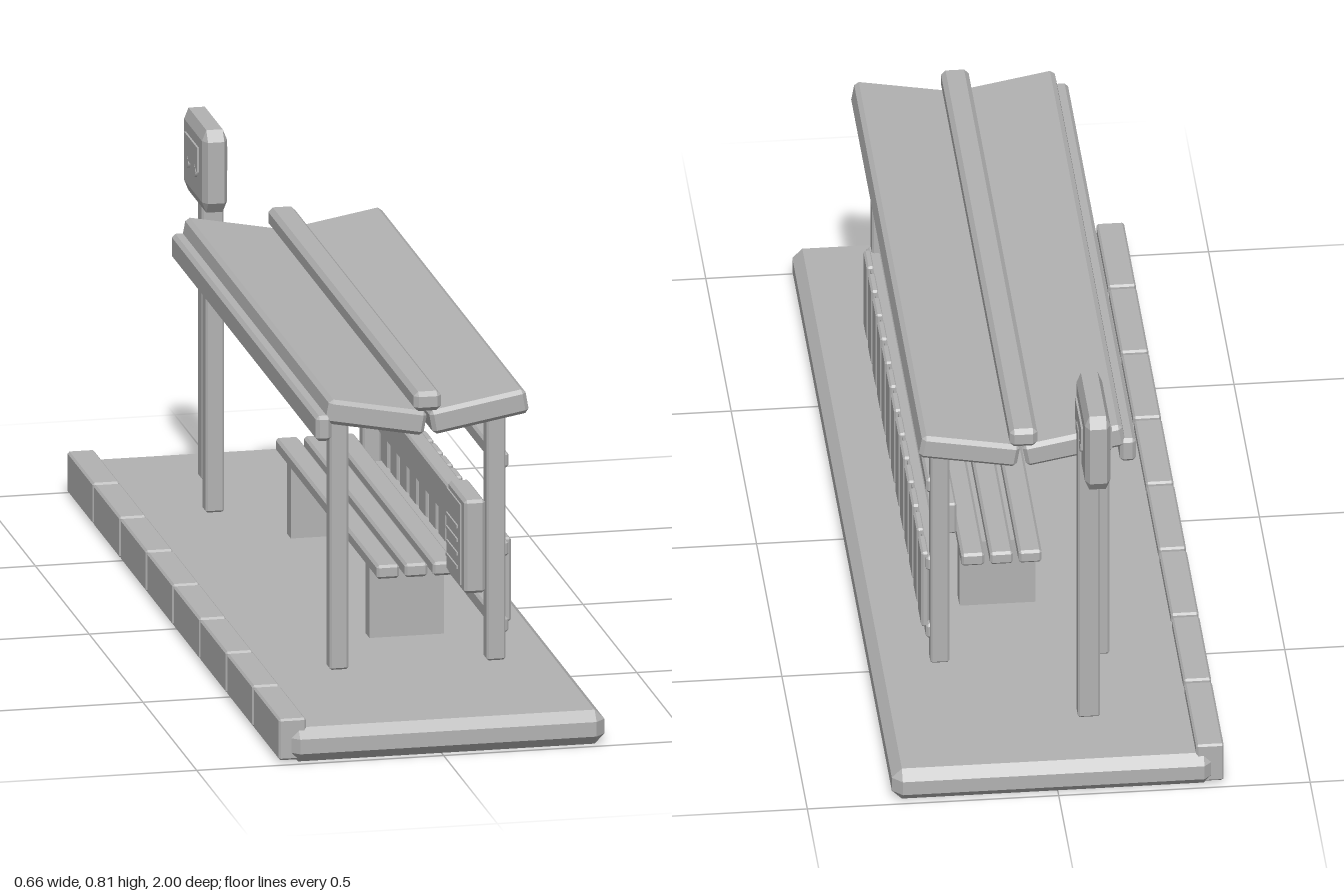
import * as THREE from 'three';
import { ConvexGeometry } from 'three/addons/geometries/ConvexGeometry.js';

const grey = new THREE.MeshStandardMaterial({ color: 0xb2b2b2 });
grey.name = 'plainGrey';

// Box with flat chamfered edges; bevel is one size or [x, y, z]
function chamferBox(w, h, d, bevel) {
  const [bx, by, bz] = Array.isArray(bevel) ? bevel : [bevel, bevel, bevel];
  const X = w / 2, Y = h / 2, Z = d / 2, pts = [];
  for (const i of [-1, 1]) for (const j of [-1, 1]) for (const k of [-1, 1]) {
    pts.push(
      new THREE.Vector3(i * X, j * (Y - by), k * (Z - bz)),
      new THREE.Vector3(i * (X - bx), j * Y, k * (Z - bz)),
      new THREE.Vector3(i * (X - bx), j * (Y - by), k * Z));
  }
  return new ConvexGeometry(pts);
}

export function createModel() {
  const model = new THREE.Group();
  model.name = 'platformShelter';

  // Adds a box given by its extents on each axis
  function box(name, [x0, x1], [y0, y1], [z0, z1], bevel = 0, parent = model) {
    const w = x1 - x0, h = y1 - y0, d = z1 - z0;
    const geo = bevel ? chamferBox(w, h, d, bevel) : new THREE.BoxGeometry(w, h, d);
    const mesh = new THREE.Mesh(geo, grey);
    mesh.name = name;
    mesh.position.set((x0 + x1) / 2, (y0 + y1) / 2, (z0 + z1) / 2);
    parent.add(mesh);
    return mesh;
  }
  function group(name) {
    const g = new THREE.Group();
    g.name = name;
    model.add(g);
    return g;
  }

  // Platform slab and its row of kerb stones
  box('platform', [-0.31, 0.33], [0, 0.07], [-1, 1], 0.02);
  const kerb = group('kerb');
  for (let i = 0; i < 8; i++) {
    const z = (i - 3.5) * 0.2475;
    box('kerbStone', [-0.33, -0.275], [0.005, 0.09], [z - 0.119, z + 0.119], 0.004, kerb);
  }

  // Four shelter posts
  const posts = group('posts');
  for (const x of [-0.123, 0.195]) for (const z of [-0.577, 0.577]) {
    box('post', [x - 0.019, x + 0.019], [0.07, 0.61], [z - 0.018, z + 0.018], 0.004, posts);
  }

  // Butterfly roof: two tilted panels, centre beam and edge gutter
  const roof = group('roof');
  for (const [x, y, len, tilt] of [[-0.064, 0.607, 0.202, -0.185], [0.144, 0.606, 0.198, 0.175]]) {
    const panel = box('roofPanel', [x - len / 2, x + len / 2], [y - 0.025, y + 0.025], [-0.675, 0.675], 0.008, roof);
    panel.rotation.z = tilt;
  }
  box('roofBeam', [0.01, 0.065], [0.617, 0.657], [-0.685, 0.685], 0.009, roof);
  box('gutter', [-0.187, -0.155], [0.565, 0.617], [-0.675, 0.675], 0.007, roof);

  // Back fence: rails and thirteen upright slats
  const fence = group('fence');
  for (const y of [0.479, 0.297, 0.14]) {
    box('rail', [0.194, 0.222], [y - 0.016, y + 0.016], [-0.588, 0.588], 0.005, fence);
  }
  for (let i = 0; i < 13; i++) {
    const z = (i - 6) * 0.0897;
    box('fenceSlat', [0.214, 0.23], [0.142, 0.315], [z - 0.034, z + 0.034], 0.004, fence);
  }

  // Bench: two end supports, three seat slats and a backrest
  const bench = group('bench');
  for (const z of [-0.365, 0.365]) {
    box('benchLeg', [-0.016, 0.135], [0.07, 0.217], [z - 0.019, z + 0.019], 0, bench);
  }
  for (const x of [0.003, 0.06, 0.117]) {
    box('seatSlat', [x - 0.023, x + 0.023], [0.215, 0.243], [-0.472, 0.472], 0.005, bench);
  }
  box('backrest', [0.15, 0.185], [0.293, 0.363], [-0.472, 0.472], 0.004, bench);

  // Notice board with a thin sheet and printed lines
  const notice = group('noticeBoard');
  box('board', [0.072, 0.115], [0.289, 0.481], [0.708, 0.863], 0.006, notice);
  box('noticeSheet', [0.066, 0.069], [0.305, 0.47], [0.722, 0.849], 0, notice);
  for (let i = 0; i < 4; i++) {
    const y = 0.421 - i * 0.028;
    box('noticeLine', [0.062, 0.065], [y - 0.003, y + 0.003], [0.735, 0.836], 0, notice);
  }

  // Stop sign on a pole, with a plain raised plate on both faces
  const sign = group('stopSign');
  box('signPole', [-0.1, -0.056], [0.07, 0.74], [-0.827, -0.787], 0.004, sign);
  box('signHead', [-0.114, -0.063], [0.64, 0.81], [-0.906, -0.708], [0.009, 0.022, 0.016], sign);
  for (const x of [-0.117, -0.06]) {
    box('signPlate', [x - 0.002, x + 0.002], [0.718, 0.768], [-0.868, -0.745], 0, sign);
    for (const z of [-0.84, -0.773]) {
      const disc = new THREE.Mesh(new THREE.CylinderGeometry(0.013, 0.013, 0.005, 12), grey);
      disc.name = 'signDisc';
      disc.rotation.z = Math.PI / 2;
      disc.position.set(x, 0.714, z);
      sign.add(disc);
    }
  }

  return model;
}
